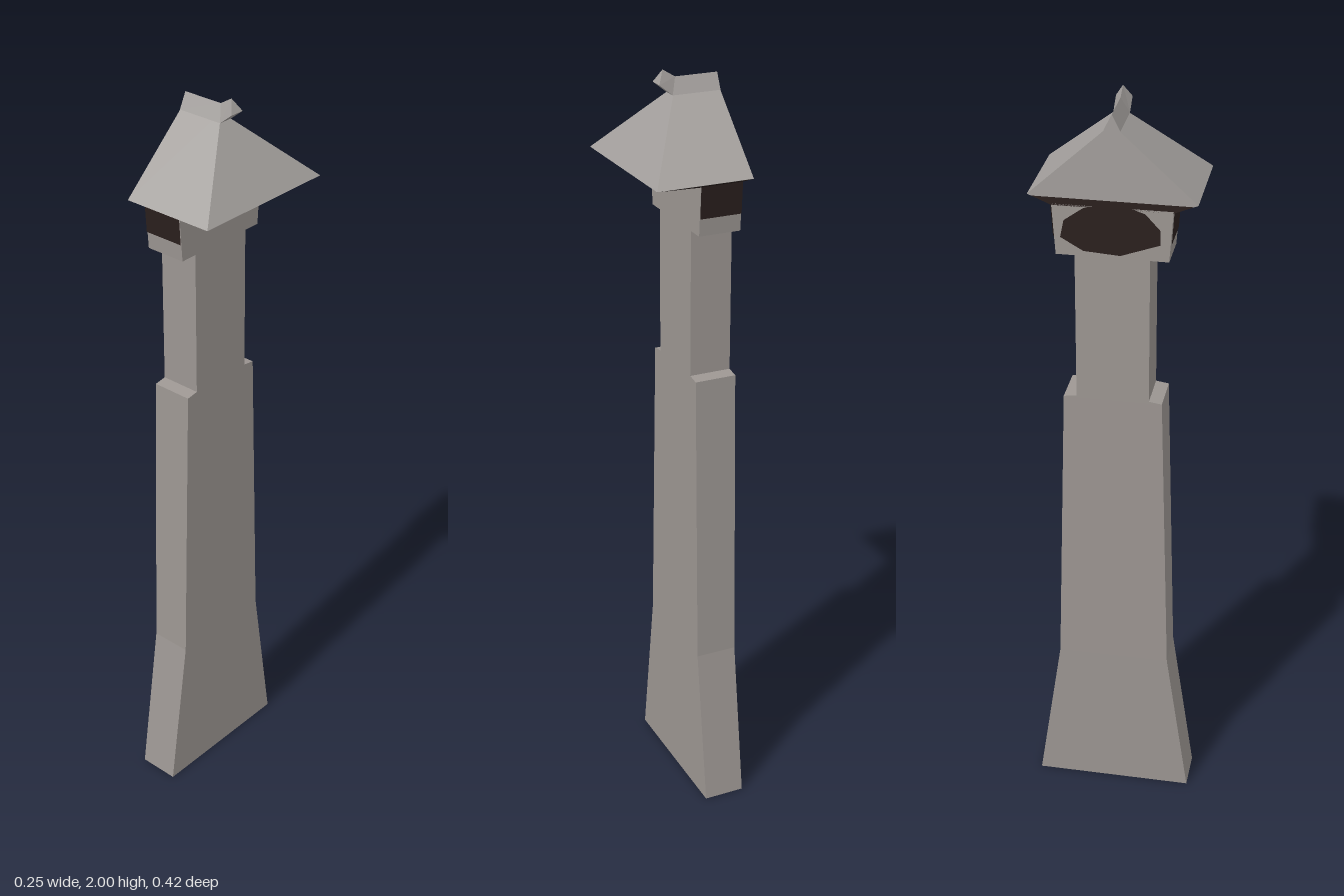
import * as THREE from 'three';

// Flat-faced mesh from convex polygons, corners counter-clockwise from outside
function faces(name, material, polygons) {
  const pos = [];
  for (const p of polygons) {
    for (let i = 1; i < p.length - 1; i++) pos.push(...p[0], ...p[i], ...p[i + 1]);
  }
  const g = new THREE.BufferGeometry();
  g.setAttribute('position', new THREE.Float32BufferAttribute(pos, 3));
  g.computeVertexNormals();
  const m = new THREE.Mesh(g, material);
  m.name = name;
  return m;
}

// Side walls between horizontal or tilted rings of equal corner count
function loft(rings) {
  const out = [];
  for (let r = 0; r < rings.length - 1; r++) {
    const a = rings[r], b = rings[r + 1], n = a.length;
    for (let i = 0; i < n; i++) {
      const j = (i + 1) % n;
      out.push([a[i], a[j], b[j], b[i]]);
    }
  }
  return out;
}

// Rectangle ring, counter-clockwise seen from above
const ring = (x0, x1, hz, y) => [[x0, y, hz], [x1, y, hz], [x1, y, -hz], [x0, y, -hz]];

export function createModel() {
  const mat = (name, color) => {
    const m = new THREE.MeshStandardMaterial({ color, side: THREE.DoubleSide });
    m.name = name;
    return m;
  };
  const stone = mat('wall stone', 0x9c9692);
  const roofStone = mat('roof stone', 0xa39f9c);
  const dark = mat('dark brown', 0x2a1f1d);

  const group = new THREE.Group();
  group.name = 'roofedPillar';
  const X0 = -0.127, X1 = -0.016;

  // Tapered pillar with stepped shaft and wider head, open at the bottom
  const profile = [
    [0.21, 0], [0.148, 0.43], [0.125, 1.23], [0.092, 1.235],
    [0.092, 1.62], [0.138, 1.62], [0.147, 1.75],
  ];
  group.add(faces('pillar', stone, loft(profile.map(([hz, y]) => ring(X0, X1, hz, y)))));

  // Dark bands on both ends of the head
  for (const s of [1, -1]) {
    const za = s * 0.1435, zb = s * 0.149;
    const band = [[X0, 1.665, za], [X1, 1.665, za], [X1, 1.75, zb], [X0, 1.75, zb]];
    group.add(faces('headBand', dark, [s > 0 ? band : band.reverse()]));
  }

  // Dark stain on the flat back of the head, as [z, y]
  const stain = [
    [-0.126, 1.666], [-0.07, 1.634], [0.02, 1.628], [0.117, 1.663], [0.117, 1.7],
    [0.08, 1.74], [0.005, 1.765], [-0.07, 1.744], [-0.117, 1.71],
  ];
  group.add(faces('backStain', dark, [stain.map(([z, y]) => [X0 - 0.002, y, z])]));

  // Hipped roof, cut flat at the back gable
  const E = 0.205, EY = 1.77, EX = 0.125;
  const apex = [-0.014, 1.957, 0], back = [X0, 1.957, 0];
  const c = ring(X0, EX, E, EY);
  group.add(faces('roof', roofStone, [
    [c[0], c[1], apex, back],
    [c[1], c[2], apex],
    [c[2], c[3], back, apex],
    [c[3], c[0], back],
  ]));

  // Shallow soffit: pale rim outside, dark inside
  const rim = ring(X0, 0.11, 0.195, 1.766);
  const inner = ring(X0, X1, 0.147, 1.746);
  group.add(faces('soffitRim', roofStone, loft([rim, c])));
  group.add(faces('soffit', dark, loft([inner, rim])));

  // Triangular ridge cap with an upturned end
  const section = (xt, yt, xb, yb) => [[xb, yb, 0.02], [xt, yt, 0], [xb, yb, -0.02]];
  const cap = [
    section(X0, 1.98, X0, 1.94),
    section(-0.015, 1.98, 0, 1.94),
    section(0.018, 2, 0.035, 1.968),
  ];
  group.add(faces('ridgeCap', roofStone, [
    ...loft(cap).map((p) => p.reverse()).map((p) => p.reverse() && [p[0], p[3], p[2], p[1]]),
    [...cap[0]].reverse(),
    cap[2],
  ]));

  return group;
}
